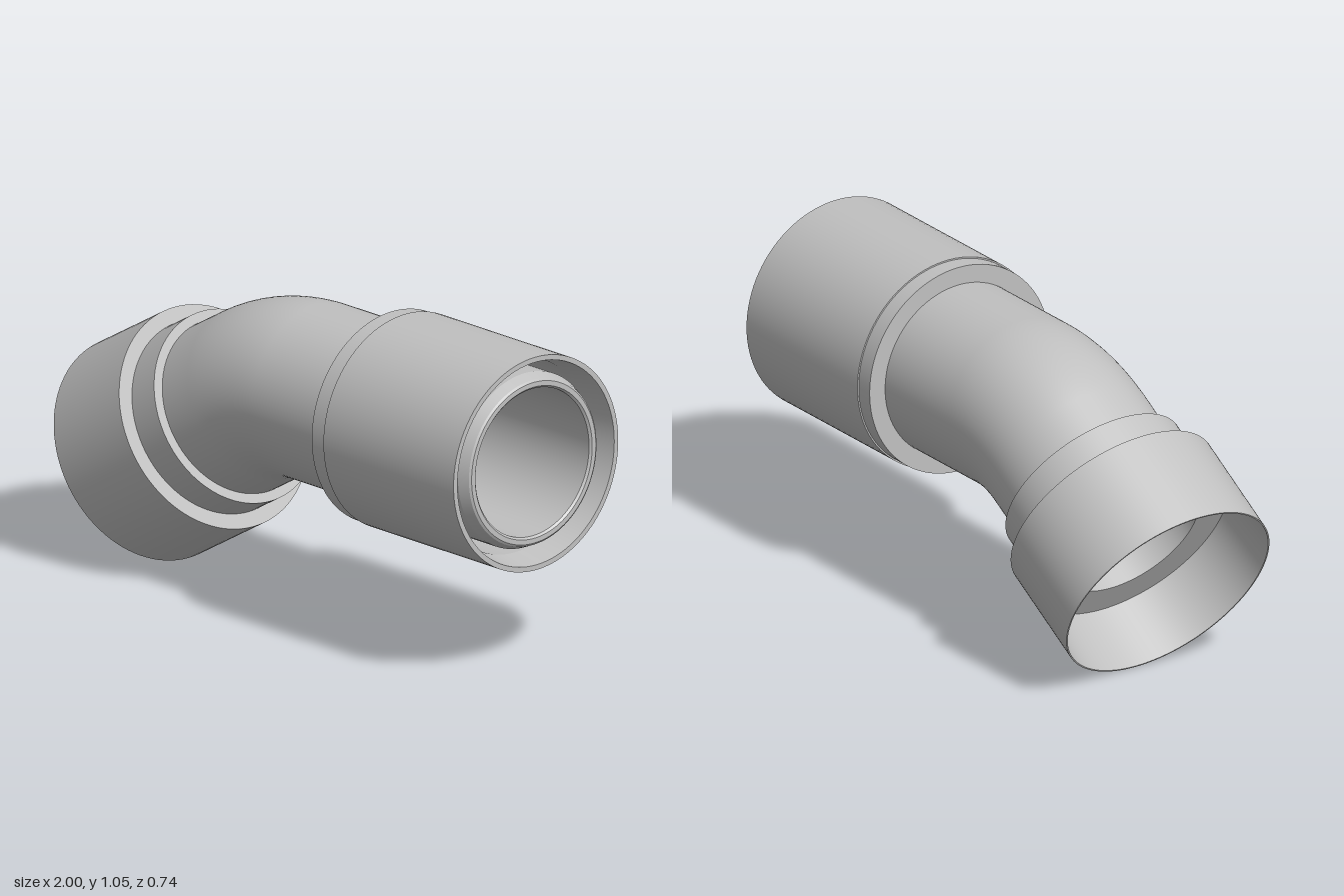
import * as THREE from 'three';
import { mergeGeometries } from 'three/addons/utils/BufferGeometryUtils.js';

const SIDES = 96;
const AXIS_Y = 0.705;       // height of the straight pipe's axis
const OUTER = 0.29;         // pipe outer radius
const BORE = 0.245;         // pipe inner radius
const ANGLE = Math.PI / 6;  // elbow angle
const BEND_R = 0.53;        // centreline radius of the elbow
const BEND_X = -0.02;       // where the straight run meets the elbow
const TANGENT = BEND_R * Math.tan(ANGLE / 2);

// Revolves [radius, distance] points; every profile segment keeps its own crisp edges
function revolve(profile) {
  const bands = [];
  for (let i = 0; i < profile.length - 1; i++) {
    const pair = [profile[i], profile[i + 1]].map(([r, d]) => new THREE.Vector2(r, d));
    bands.push(new THREE.LatheGeometry(pair, SIDES));
  }
  return mergeGeometries(bands);
}

// Turns a surface inside out
function flip(geometry) {
  const index = geometry.index;
  for (let i = 0; i < index.count; i += 3) {
    const a = index.getX(i);
    index.setX(i, index.getX(i + 2));
    index.setX(i + 2, a);
  }
  const n = geometry.attributes.normal;
  for (let i = 0; i < n.count; i++) n.setXYZ(i, -n.getX(i), -n.getY(i), -n.getZ(i));
  return geometry;
}

export function createModel() {
  const model = new THREE.Group();
  model.name = 'pipeElbow';
  const grey = new THREE.MeshStandardMaterial({ color: 0xc0c0c0 });
  grey.name = 'lightGrey';

  const add = (name, geometry, x, y, turn) => {
    const mesh = new THREE.Mesh(geometry, grey);
    mesh.name = name;
    mesh.position.set(x, y, 0);
    mesh.rotation.z = turn;
    model.add(mesh);
  };

  // Straight pipe with a bevelled end inside the sleeve
  add('straightPipe', revolve([
    [OUTER, BEND_X], [OUTER, 0.95], [0.275, 0.985], [0.268, 0.99],
    [0.252, 0.99], [BORE, 0.983], [BORE, BEND_X],
  ]), 0, AXIS_Y, -Math.PI / 2);

  // Sleeve around the pipe end, with an open ring-shaped gap
  add('couplingSleeve', revolve([
    [0.28, 0.33], [0.35, 0.33], [0.35, 0.39], [0.355, 0.39], [0.355, 1],
    [0.338, 1], [0.32, 0.9], [0.32, 0.42], [0.28, 0.42],
  ]), 0, AXIS_Y, -Math.PI / 2);

  // Curved elbow, outside wall and bore
  const bend = (r) => new THREE.TorusGeometry(BEND_R, r, SIDES, 24, ANGLE);
  add('elbowOuter', bend(OUTER), BEND_X, AXIS_Y - BEND_R, Math.PI / 2);
  add('elbowBore', flip(bend(BORE)), BEND_X, AXIS_Y - BEND_R, Math.PI / 2);

  // Angled pipe end with stepped collar and flared socket, measured from the axis corner
  add('angledSocket', revolve([
    [OUTER, TANGENT], [OUTER, 0.28], [0.322, 0.28], [0.322, 0.4], [0.372, 0.4],
    [0.372, 0.754], [0.367, 0.754], [0.352, 0.524], [BORE, 0.524], [BORE, TANGENT],
  ]), BEND_X - TANGENT, AXIS_Y, Math.PI / 2 + ANGLE);

  return model;
}
